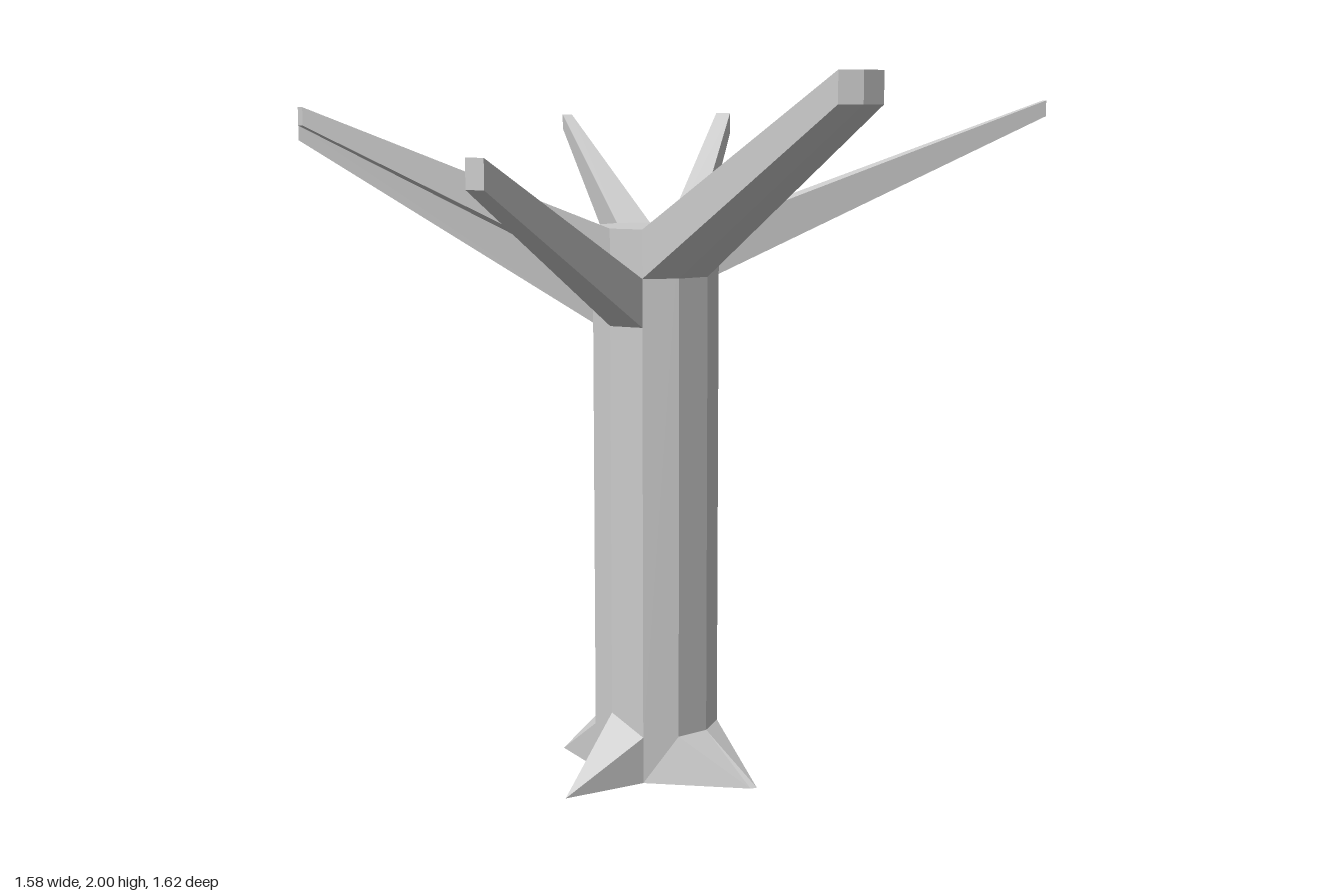
import * as THREE from 'three';

const SIDES = 11, RADIUS = 0.18, CX = -0.03, CZ = 0.023;
const LOW = 1.31, MID = 1.445, TOP = 1.58;

// Corner k of the eleven-sided trunk at height y
function corner(k, y) {
  const a = (k / SIDES) * Math.PI * 2;
  return [CX + RADIUS * Math.cos(a), y, CZ + RADIUS * Math.sin(a)];
}

function makeMesh(name, triangles) {
  const geometry = new THREE.BufferGeometry();
  geometry.setAttribute('position', new THREE.Float32BufferAttribute(triangles.flat(), 3));
  geometry.computeVertexNormals();
  const material = new THREE.MeshStandardMaterial({ color: 0xcccccc, flatShading: true });
  const mesh = new THREE.Mesh(geometry, material);
  mesh.name = name;
  return mesh;
}

const quad = (a, b, c, d) => [a, b, c, a, c, d];

// Trunk with the bottom ring pulled out into four roots
function makeTrunk() {
  const rootTips = {
    0: [0.33, 0.03], 1: [0.32, 0.047],
    3: [-0.058, 0.415], 5: [-0.335, 0.075],
    7: [-0.18, -0.3], 8: [-0.06, -0.35],
  };
  const foot = [], ankle = [], top = [];
  for (let k = 0; k < SIDES; k++) {
    const tip = rootTips[k];
    foot.push(tip ? [tip[0], 0, tip[1]] : corner(k, 0));
    ankle.push(corner(k, k === 3 ? 0.195 : 0.135));
    top.push(corner(k, TOP));
  }
  const rings = [foot, ankle, top];
  const tris = [];
  for (let k = 0; k < SIDES; k++) {
    const n = (k + 1) % SIDES;
    for (let r = 0; r < 2; r++) {
      tris.push(...quad(rings[r][n], rings[r][k], rings[r + 1][k], rings[r + 1][n]));
    }
    tris.push([CX, TOP, CZ], top[n], top[k]);
    tris.push([CX, 0, CZ], foot[k], foot[n]);
  }
  return makeMesh('trunk', tris);
}

// Branch drawn out of neighbouring trunk faces, from corner `first` onward;
// tips holds [x, z] of the end of each corner line
function makeBranch(name, first, tips, [baseLo, baseHi], [tipLo, tipHi]) {
  const last = tips.length - 1;
  const base = [], end = [];
  for (let i = last; i >= 0; i--) {
    base.push(corner(first + i, baseLo));
    end.push([tips[i][0], tipLo, tips[i][1]]);
  }
  for (let i = 0; i <= last; i++) {
    base.push(corner(first + i, baseHi));
    end.push([tips[i][0], tipHi, tips[i][1]]);
  }
  const count = base.length, tris = [];
  for (let i = 0; i < count; i++) {
    const n = (i + 1) % count;
    tris.push(...quad(base[i], base[n], end[n], end[i]));
  }
  // Blunt end
  for (let i = 0; i < last; i++) {
    tris.push(...quad(end[i], end[i + 1], end[count - 2 - i], end[count - 1 - i]));
  }
  return makeMesh(name, tris);
}

export function createModel() {
  const tree = new THREE.Group();
  tree.name = 'bareTree';
  tree.add(makeTrunk());

  const upper = [MID, TOP], lower = [LOW, MID];
  tree.add(
    makeBranch('leftBranch', 0, [[0.778, 0.165], [0.76, 0.235], [0.71, 0.275]], upper, [1.915, 2]),
    makeBranch('frontBranch', 2, [[0.012, 0.802], [-0.045, 0.807]], lower, [1.705, 1.785]),
    makeBranch('frontRightBranch', 3, [[-0.74, 0.685], [-0.773, 0.67], [-0.79, 0.64]], upper, [1.86, 1.91]),
    makeBranch('frontRightBranchUnderside', 4, [[-0.773, 0.67], [-0.79, 0.64]], lower, [1.82, 1.86]),
    makeBranch('backRightBranch', 6, [[-0.79, -0.515], [-0.772, -0.54]], upper, [1.845, 1.89]),
    makeBranch('backBranch', 7, [[-0.377, -0.795], [-0.335, -0.812]], lower, [1.83, 1.895]),
    makeBranch('backLeftBranch', 9, [[0.76, -0.803], [0.785, -0.775]], upper, [1.885, 1.93]),
  );
  return tree;
}
